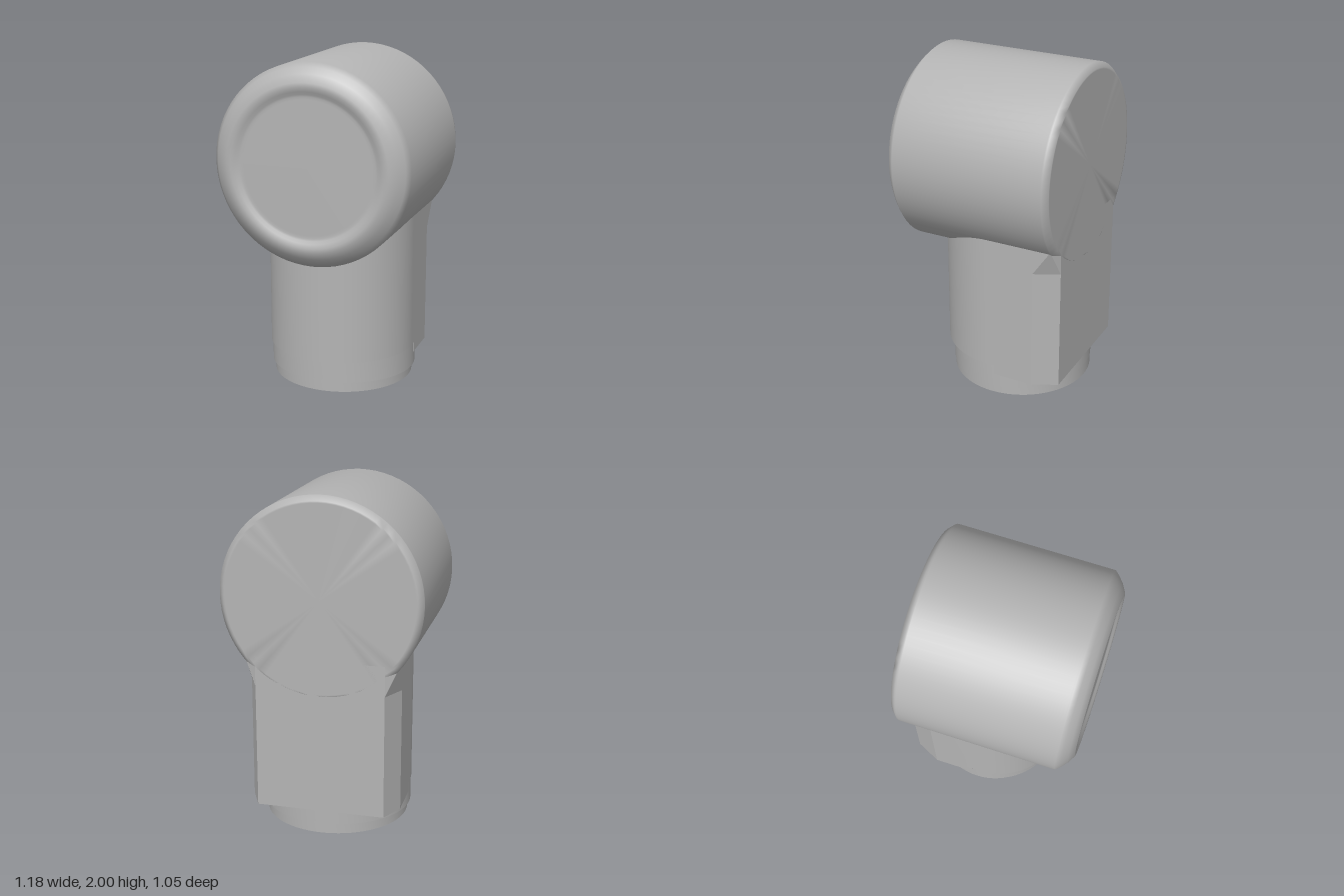
import * as THREE from 'three';
import { toCreasedNormals } from 'three/addons/utils/BufferGeometryUtils.js';
import { ConvexGeometry } from 'three/addons/geometries/ConvexGeometry.js';

const grey = new THREE.MeshStandardMaterial({ color: 0xb4b4b4 });
grey.name = 'grey';

function addPart(group, name, geometry, crease = 0.4) {
  const mesh = new THREE.Mesh(toCreasedNormals(geometry, crease), grey);
  mesh.name = name;
  group.add(mesh);
}

const lathe = (pairs) =>
  new THREE.LatheGeometry(pairs.map(([r, y]) => new THREE.Vector2(r, y)), 72);

// Extrudes a floor plan (x, -z) upwards from y0 to y1
function extrudeUp(shape, y0, y1) {
  const g = new THREE.ExtrudeGeometry(shape, { depth: y1 - y0, bevelEnabled: false, curveSegments: 48 });
  return g.rotateX(-Math.PI / 2).translate(0, y0, 0);
}

// Floor plan with straight sides, cut back corners and a flat back
function backPlan(frontEdge) {
  const s = new THREE.Shape();
  s.moveTo(0.45, frontEdge);
  s.lineTo(0.45, 0.38);
  s.lineTo(0.38, 0.525);
  s.lineTo(-0.38, 0.525);
  s.lineTo(-0.45, 0.38);
  s.lineTo(-0.45, frontEdge);
  return s;
}

export function createModel() {
  const group = new THREE.Group();

  // Horizontal barrel: chamfered back, rounded front rim, shallow recessed face
  const barrel = lathe([
    [0, -0.525], [0.55, -0.525], [0.56, -0.525], [0.59, -0.495], [0.59, -0.485],
    [0.59, 0.43], [0.59, 0.44], [0.565, 0.468], [0.53, 0.498], [0.485, 0.525],
    [0.46, 0.525], [0.435, 0.518], [0.418, 0.508], [0.405, 0.505], [0.39, 0.505], [0, 0.505],
  ]);
  barrel.rotateX(Math.PI / 2).translate(0, 1.41, 0);
  addPart(group, 'barrel', barrel, 0.9);

  // Column: round front, flat back
  const plan = backPlan(0.09);
  plan.absarc(0, 0.09, 0.45, Math.PI, Math.PI * 2, false);
  addPart(group, 'column', extrudeUp(plan, 0.2, 1.06));

  // Back part of the column reaching a little lower
  addPart(group, 'columnHeel', extrudeUp(backPlan(0.13), 0.14, 0.2));

  // Flared corners where the column meets the barrel
  for (const side of [1, -1]) {
    const corners = [
      [0.45, 0.88, -0.38], [0.45, 1.04, -0.38], [0.45, 1.04, -0.49],
      [0.38, 1.04, -0.525], [0.38, 0.88, -0.525], [0.3, 1.04, -0.38],
    ].map(([x, y, z]) => new THREE.Vector3(side * x, y, z));
    addPart(group, side > 0 ? 'leftFlare' : 'rightFlare', new ConvexGeometry(corners));
  }

  // Skirt below the column
  const skirt = lathe([[0.4, 0.06], [0.45, 0.06], [0.45, 0.205]]);
  skirt.scale(1, 1, 0.94).translate(0, 0, -0.102);
  addPart(group, 'skirt', skirt);

  // Foot ring with a shallow recessed underside
  const foot = lathe([[0, 0.02], [0.415, 0.02], [0.415, 0], [0.43, 0], [0.43, 0.07]]);
  foot.scale(1, 1, 0.985).translate(0, 0, -0.102);
  addPart(group, 'footRing', foot);

  return group;
}
